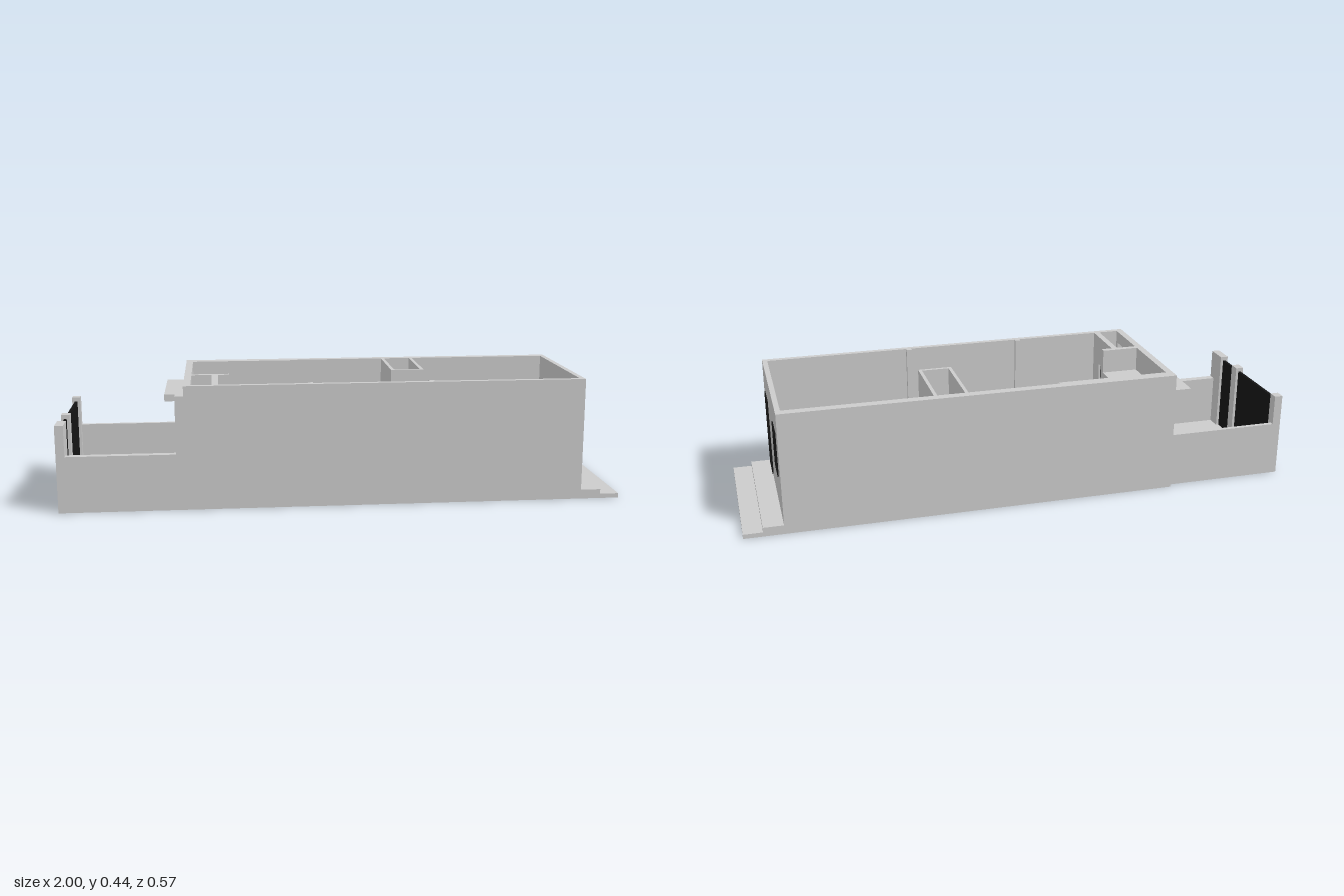
import * as THREE from 'three';

const mat = (color, side = THREE.FrontSide) => new THREE.MeshStandardMaterial({ color, side });
const GREY = mat(0xcccccc), DARK = mat(0x6a6a6a), BLACK = mat(0x151515);
const GLASS = mat(0x78808a), FLOOR = mat(0xa69c90);
const FL = 0.05, TOP = 0.44;

// Box given by its minimum and maximum on each axis
function box(parent, name, x0, x1, y0, y1, z0, z1, m = GREY) {
  const mesh = new THREE.Mesh(new THREE.BoxGeometry(x1 - x0, y1 - y0, z1 - z0), m);
  mesh.position.set((x0 + x1) / 2, (y0 + y1) / 2, (z0 + z1) / 2);
  mesh.name = name;
  parent.add(mesh);
  return mesh;
}

// Outline of a rectangle in the z-y plane (shape x is -z)
function rect(T, [z0, z1, y0, y1]) {
  const s = new T();
  s.moveTo(-z1, y0); s.lineTo(-z0, y0); s.lineTo(-z0, y1); s.lineTo(-z1, y1); s.closePath();
  return s;
}

// Upright slab across x with rectangular openings
function crossWall(parent, name, x0, x1, outer, holes, m = GREY) {
  const s = rect(THREE.Shape, outer);
  holes.forEach(h => s.holes.push(rect(THREE.Path, h)));
  const g = new THREE.ExtrudeGeometry(s, { depth: x1 - x0, bevelEnabled: false });
  g.rotateY(Math.PI / 2);
  const mesh = new THREE.Mesh(g, m);
  mesh.position.x = x0;
  mesh.name = name;
  parent.add(mesh);
}

// Framed pane filling an opening in a cross wall
function glazing(parent, name, x0, x1, [z0, z1, y0, y1], t) {
  const g = new THREE.Group();
  g.name = name;
  crossWall(g, 'frame', x0, x1, [z0, z1, y0, y1], [[z0 + t, z1 - t, y0 + t, y1 - t]], BLACK);
  const xm = (x0 + x1) / 2;
  box(g, 'pane', xm - 0.003, xm + 0.003, y0 + t, y1 - t, z0 + t, z1 - t, GLASS);
  parent.add(g);
  return g;
}

// Flat top on four corner legs
function table(parent, name, x0, x1, z0, z1, h) {
  const g = new THREE.Group();
  g.name = name;
  box(g, 'tableTop', x0, x1, FL + h - 0.01, FL + h, z0, z1, DARK);
  for (const x of [x0, x1 - 0.008]) for (const z of [z0, z1 - 0.008])
    box(g, 'leg', x, x + 0.008, FL, FL + h - 0.01, z, z + 0.008, DARK);
  parent.add(g);
}

// Chair with its back on the side given by dir (+1 or -1 in x)
function chair(parent, x, z, dir) {
  const g = new THREE.Group();
  g.name = 'chair';
  box(g, 'seat', -0.024, 0.024, 0.045, 0.054, -0.03, 0.03, DARK);
  const bx = dir * 0.022;
  box(g, 'backrest', bx - 0.004, bx + 0.004, 0.054, 0.1, -0.027, 0.027, DARK);
  for (const lx of [-0.02, 0.02]) for (const lz of [-0.024, 0.024])
    box(g, 'leg', lx - 0.003, lx + 0.003, 0, 0.045, lz - 0.003, lz + 0.003, DARK);
  g.position.set(x, FL, z);
  parent.add(g);
}

function buildShell(house) {
  box(house, 'foundation', -0.56, 0.86, 0, 0.045, -0.28, 0.28);
  box(house, 'floor', -0.44, 0.842, 0.045, FL, -0.255, 0.266, FLOOR);
  box(house, 'frontWall', -0.56, 0.86, 0, TOP, 0.264, 0.284);
  box(house, 'backWall', -0.56, 0.86, 0, TOP, -0.284, -0.252);
  box(house, 'backWallLining', -0.535, -0.13, FL, TOP, -0.252, -0.242);
  for (const x of [-0.12, 0.31]) box(house, 'pilaster', x - 0.01, x + 0.01, FL, TOP, 0.25, 0.264);

  // End wall with tall door and small window
  const door = [0.113, 0.223, 0.05, 0.338], win = [-0.204, -0.096, 0.18, 0.343];
  crossWall(house, 'endWall', 0.842, 0.86, [-0.27, 0.27, 0, TOP], [door, win]);
  glazing(house, 'gardenDoor', 0.84, 0.864, door, 0.012);
  const w = glazing(house, 'smallWindow', 0.84, 0.864, win, 0.009);
  box(w, 'transomBar', 0.842, 0.864, 0.312, 0.32, -0.196, -0.104, BLACK);
  box(w, 'transomLouvre', 0.846, 0.862, 0.324, 0.329, -0.196, -0.104, BLACK);

  // Entrance wall with porch opening and side window
  const porch = [0.07, 0.25, 0.05, 0.395], side = [-0.235, -0.19, 0.1, 0.32];
  crossWall(house, 'entranceWall', -0.56, -0.535, [-0.27, 0.27, 0, TOP], [porch, side]);
  glazing(house, 'sideWindow', -0.557, -0.54, side, 0.008);
  box(house, 'cornerPier', -0.59, -0.56, 0, 0.405, 0.25, 0.284);
  box(house, 'canopy', -0.635, -0.56, 0.345, 0.37, -0.25, 0.06);

  // Porch recess and its inner door
  crossWall(house, 'porchInnerWall', -0.462, -0.44, [0.06, 0.27, FL, TOP], [[0.09, 0.2, 0.055, 0.33]]);
  box(house, 'entranceDoor', -0.455, -0.447, 0.055, 0.33, 0.09, 0.2, DARK);
  box(house, 'porchSideWall', -0.535, -0.4, FL, TOP, 0.045, 0.065);

  // Closed room under a flat slab
  box(house, 'storeRoom', -0.535, -0.4, FL, 0.352, -0.252, 0.05);
  box(house, 'storeDoors', -0.4, -0.396, FL, 0.31, -0.24, 0.045, DARK);

  // Inner cell, open at the top
  box(house, 'cellWall', 0.2, 0.212, FL, TOP, -0.252, 0.02);
  box(house, 'cellWall', 0.31, 0.322, FL, TOP, -0.252, 0.02);
  box(house, 'cellFrontWall', 0.2, 0.322, FL, TOP, 0.008, 0.02);
  box(house, 'wallScreen', 0.222, 0.295, 0.285, 0.335, 0.02, 0.026, BLACK);
}

function buildYard(yard) {
  box(yard, 'yardFloor', -1, -0.56, 0, 0.012, -0.264, 0.28);
  box(yard, 'yardFrontWall', -0.985, -0.56, 0, 0.2, 0.256, 0.284);
  box(yard, 'yardBackWall', -0.985, -0.56, 0, 0.2, -0.266, -0.25);
  for (const [z0, z1] of [[-0.266, -0.23], [0.06, 0.1], [0.2, 0.284]])
    box(yard, 'gatePillar', -1, -0.97, 0, 0.31, z0, z1);
  for (const [z0, z1] of [[-0.23, 0.06], [0.1, 0.2]])
    box(yard, 'gate', -0.99, -0.98, 0.01, 0.295, z0, z1, BLACK);
  // Steps up to the porch
  [-0.665, -0.63, -0.597].forEach((x, i) =>
    box(yard, 'porchStep', x, -0.56, 0, 0.024 + i * 0.013, 0.065, 0.256));
}

function buildFurniture(f) {
  table(f, 'desk', -0.3, -0.2, -0.24, -0.15, 0.085);
  chair(f, -0.325, -0.2, -1);
  chair(f, -0.165, -0.2, 1);
  table(f, 'diningTable', 0.522, 0.635, -0.085, 0.1, 0.085);
  for (const z of [-0.035, 0.055]) { chair(f, 0.495, z, -1); chair(f, 0.664, z, 1); }
  table(f, 'coffeeTable', -0.02, 0.09, -0.1, -0.042, 0.045);

  const sofa = new THREE.Group();
  sofa.name = 'sofa';
  box(sofa, 'seat', -0.08, 0.16, FL + 0.008, FL + 0.045, -0.24, -0.14, DARK);
  box(sofa, 'backrest', -0.08, 0.16, FL + 0.045, FL + 0.095, -0.24, -0.195, DARK);
  for (const x of [-0.08, 0.148]) box(sofa, 'armrest', x, x + 0.012, FL, FL + 0.06, -0.235, -0.14, DARK);
  f.add(sofa);

  // Round-cornered armchair
  const s = new THREE.Shape();
  s.absarc(0.02, 0.02, 0.02, 0, Math.PI / 2);
  s.absarc(-0.02, 0.02, 0.02, Math.PI / 2, Math.PI);
  s.absarc(-0.02, -0.02, 0.02, Math.PI, Math.PI * 1.5);
  s.absarc(0.02, -0.02, 0.02, Math.PI * 1.5, Math.PI * 2);
  const seat = new THREE.Mesh(new THREE.ExtrudeGeometry(s, { depth: 0.05, bevelEnabled: false, curveSegments: 6 }), DARK);
  seat.rotation.x = -Math.PI / 2;
  seat.position.set(-0.172, FL, -0.04);
  seat.name = 'armchairSeat';
  f.add(seat);
  box(f, 'armchairBack', -0.207, -0.197, FL + 0.05, FL + 0.085, -0.062, -0.018, DARK);

  box(f, 'cabinet', 0.33, 0.405, FL, 0.235, -0.158, -0.08, DARK);
  box(f, 'tallCupboard', 0.457, 0.75, FL, 0.33, -0.222, -0.186, DARK);
  box(f, 'cupboardBack', 0.457, 0.75, FL, 0.325, -0.252, -0.222, DARK);
  box(f, 'console', 0.797, 0.84, FL, 0.13, -0.035, 0.035, DARK);
}

export function createModel() {
  const model = new THREE.Group();
  model.name = 'openHouse';
  const parts = { house: buildShell, yard: buildYard, furniture: buildFurniture };
  for (const [name, build] of Object.entries(parts)) {
    const g = new THREE.Group();
    g.name = name;
    build(g);
    model.add(g);
  }
  // Terrace steps at the garden end
  box(model, 'terraceUpperStep', 0.86, 0.932, 0, 0.033, -0.284, 0.284);
  box(model, 'terraceLowerStep', 0.932, 1, 0, 0.016, -0.284, 0.284);
  return model;
}
